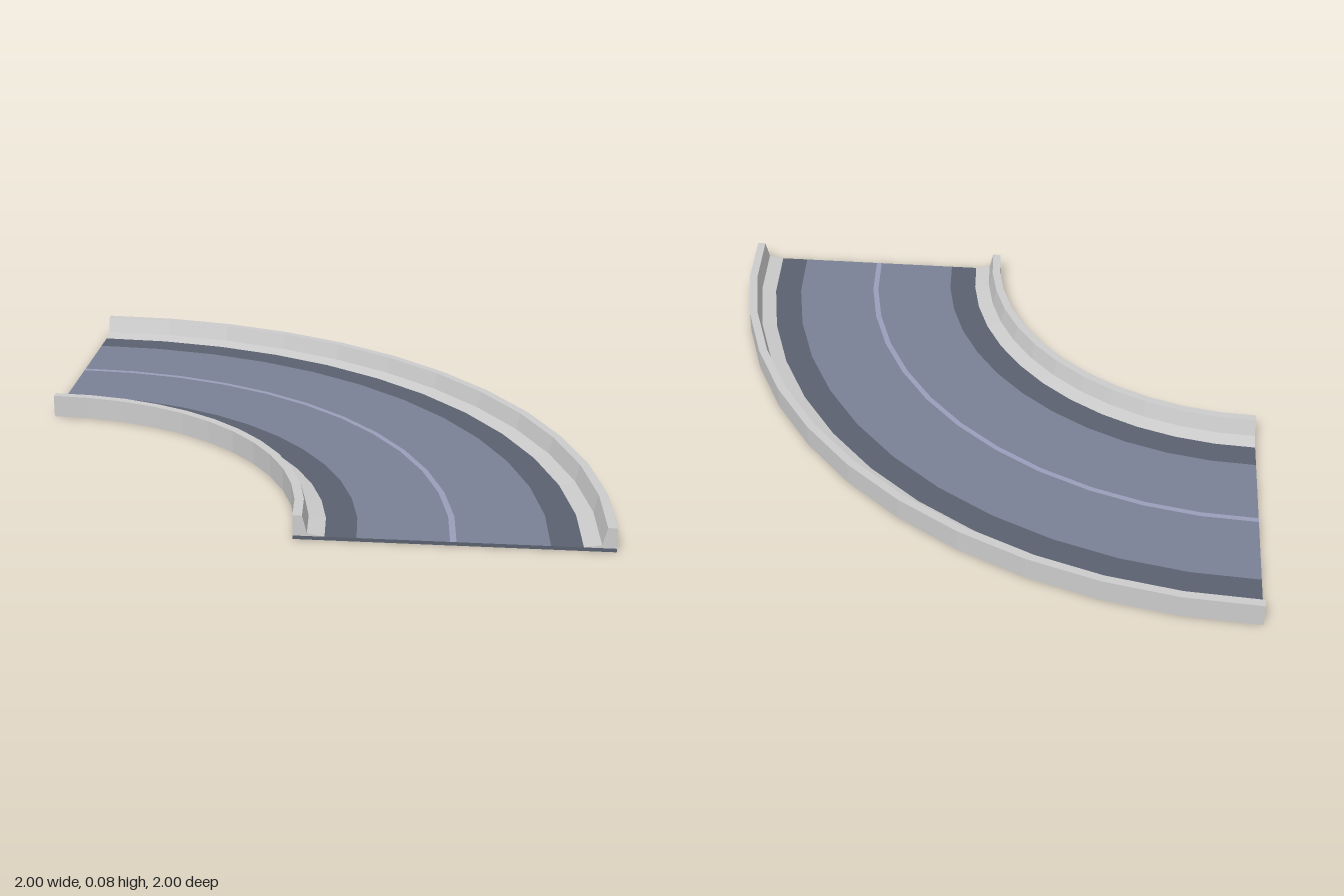
import * as THREE from 'three';

const SEGMENTS = 12; // quarter turn
const ROAD_Y = 0.012, CURB_Y = 0.022, RAIL_Y = 0.08;
const GREY = 0xcccccc, LANE = 0x7a8195, SHOULDER = 0x5a616f, LINE = 0x9a9eba;

const vectors = (pts) => pts.map(([r, y]) => new THREE.Vector2(r, y));
const material = (color, side = THREE.FrontSide) =>
  new THREE.MeshStandardMaterial({ color, flatShading: true, side });

// Sweeps a counter-clockwise (radius, height) profile through the quarter turn
function sweep(name, pts, color) {
  const geometry = new THREE.LatheGeometry(vectors(pts), SEGMENTS, Math.PI / 2, Math.PI / 2);
  const mesh = new THREE.Mesh(geometry, material(color));
  mesh.name = name;
  return mesh;
}

// Closes both cut ends of a cross-section
function endCaps(name, pts, color) {
  const group = new THREE.Group();
  group.name = name;
  for (const angle of [0, Math.PI / 2]) {
    const cap = new THREE.Mesh(
      new THREE.ShapeGeometry(new THREE.Shape(vectors(pts))),
      material(color, THREE.DoubleSide)
    );
    cap.rotation.y = angle;
    cap.name = name;
    group.add(cap);
  }
  return group;
}

export function createModel() {
  const model = new THREE.Group();
  model.name = 'curvedRoad';
  const bend = new THREE.Group();
  bend.name = 'bend';
  bend.position.set(-1, 0, 1); // centre of the turn
  model.add(bend);

  // Road surface bands: [name, inner radius, outer radius, colour]
  const bands = [
    ['innerShoulder', 1.1, 1.2, SHOULDER],
    ['innerLane', 1.2, 1.49, LANE],
    ['centreLine', 1.49, 1.51, LINE],
    ['outerLane', 1.51, 1.8, LANE],
    ['outerShoulder', 1.8, 1.9, SHOULDER],
  ];
  for (const [name, r0, r1, color] of bands) {
    bend.add(sweep(name, [[r1, ROAD_Y], [r0, ROAD_Y]], color));
  }

  // Underside and the thin ends of the slab
  bend.add(sweep('underside', [[1, 0], [2, 0]], GREY));
  bend.add(endCaps('slabEnd', [[1, 0], [2, 0], [2, ROAD_Y], [1, ROAD_Y]], SHOULDER));

  // Inner rail: curb, sloped face, flat top and wall
  const innerTop = [[1.1, ROAD_Y], [1.045, CURB_Y], [1.03, RAIL_Y], [1, RAIL_Y]];
  bend.add(sweep('innerRail', [...innerTop, [1, 0]], GREY));
  bend.add(endCaps('innerRailEnd', [...innerTop, [1, ROAD_Y]], GREY));

  // Outer rail mirrors it across the road
  const outerTop = innerTop.map(([r, y]) => [3 - r, y]).reverse();
  bend.add(sweep('outerRail', [[2, 0], ...outerTop], GREY));
  bend.add(endCaps('outerRailEnd', [[2, ROAD_Y], ...outerTop], GREY));

  return model;
}
